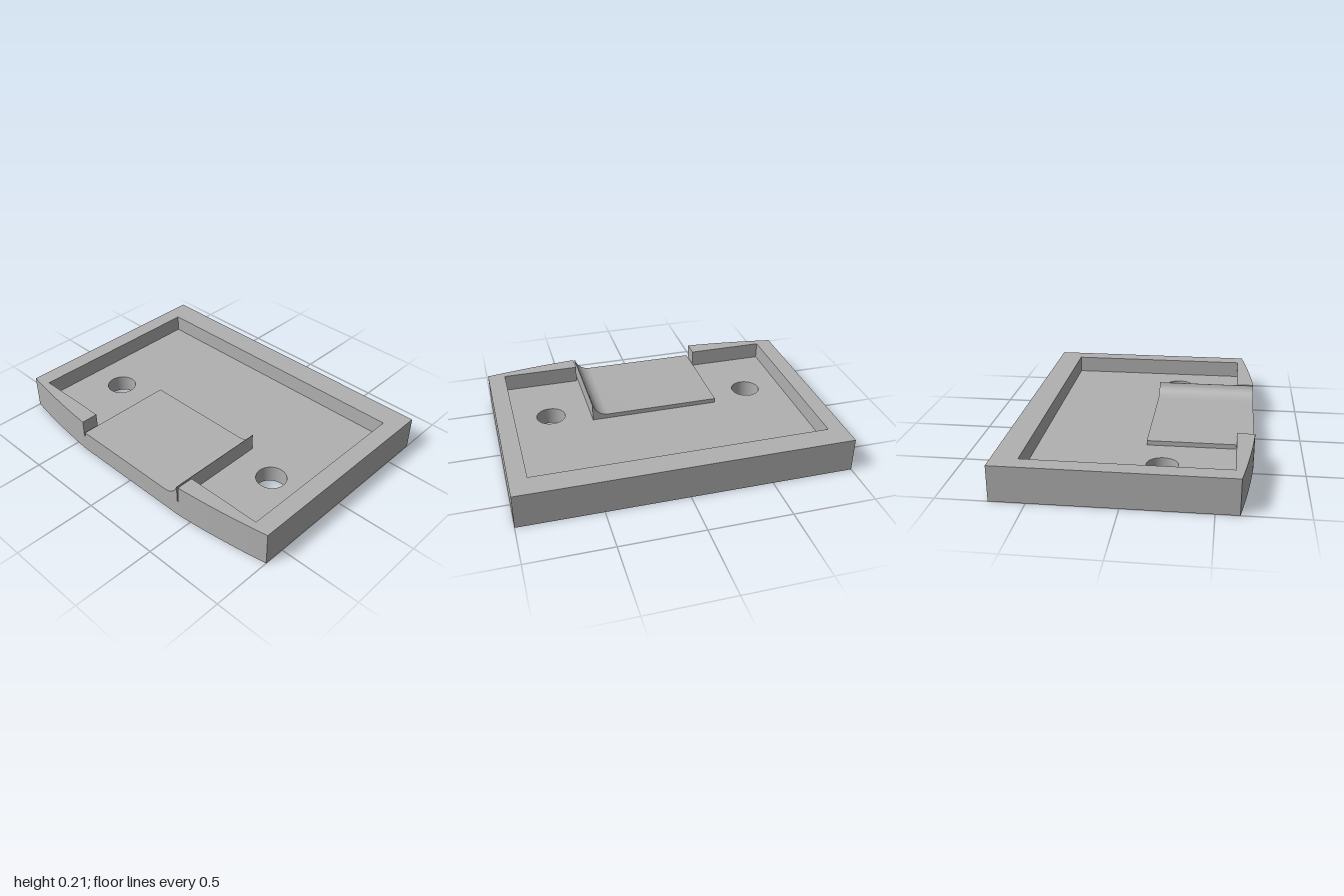
import * as THREE from 'three';
import { toCreasedNormals } from 'three/addons/utils/BufferGeometryUtils.js';

const FLOOR = 0.105, TOP = 0.21;
const BACK = -0.705, FRONT = 0.705;
const GAP = 0.415; // half width of the opening in the front wall

// Front edge: flat in the middle, gently bowed back towards the corners
const frontZ = (x) => {
  const a = Math.abs(x);
  return a <= GAP ? FRONT : FRONT - (0.075 * (a * a - GAP * GAP)) / (1 - GAP * GAP);
};

// Points along the bowed front edge between two x values
const frontEdge = (x0, x1, n = 14) =>
  Array.from({ length: n + 1 }, (_, i) => {
    const x = x0 + ((x1 - x0) * i) / n;
    return [x, frontZ(x)];
  });

// Shape from [x, z] plan points (z is flipped so the extrusion rises along +y)
const planShape = (pts) => new THREE.Shape(pts.map(([x, z]) => new THREE.Vector2(x, -z)));

const extrude = (shape, depth, curveSegments = 24) =>
  new THREE.ExtrudeGeometry(shape, { depth, bevelEnabled: false, curveSegments });

export function createModel() {
  const group = new THREE.Group();
  const grey = new THREE.MeshStandardMaterial({ color: 0xb0b0b0 });
  grey.name = 'plain grey';

  const add = (name, geometry) => {
    const mesh = new THREE.Mesh(toCreasedNormals(geometry, 0.5), grey);
    mesh.name = name;
    group.add(mesh);
  };

  // Base plate with two through holes
  const plate = planShape([
    [1, BACK], [-1, BACK], ...frontEdge(-1, -GAP), ...frontEdge(GAP, 1),
  ]);
  for (const x of [-0.66, 0.655]) {
    const hole = new THREE.Path();
    hole.absarc(x, -0.195, 0.09, 0, Math.PI * 2, true);
    plate.holes.push(hole);
  }
  add('basePlate', extrude(plate, FLOOR).rotateX(-Math.PI / 2));

  // Rim wall around the tray, open at the front
  const rim = planShape([
    [1, BACK], [-1, BACK], ...frontEdge(-1, -GAP),
    [-GAP, 0.6], [-0.897, 0.6], [-0.897, -0.555],
    [0.893, -0.555], [0.893, 0.6], [GAP, 0.6], ...frontEdge(GAP, 1),
  ]);
  add('rimWall', extrude(rim, TOP - FLOOR).rotateX(-Math.PI / 2).translate(0, FLOOR, 0));

  // Raised platform in the opening, curling up along its left side
  const step = 0.133, r = 0.1, cx = 0.305;
  const profile = new THREE.Shape();
  profile.moveTo(-0.405, FLOOR);
  profile.lineTo(0.405, FLOOR);
  profile.lineTo(0.405, TOP);
  profile.absarc(cx, step + r, r, -Math.asin((step + r - TOP) / r), -Math.PI / 2, true);
  profile.lineTo(-0.405, step);
  profile.closePath();
  add('platform', extrude(profile, FRONT - 0.08, 16).translate(0, 0, 0.08));

  return group;
}
